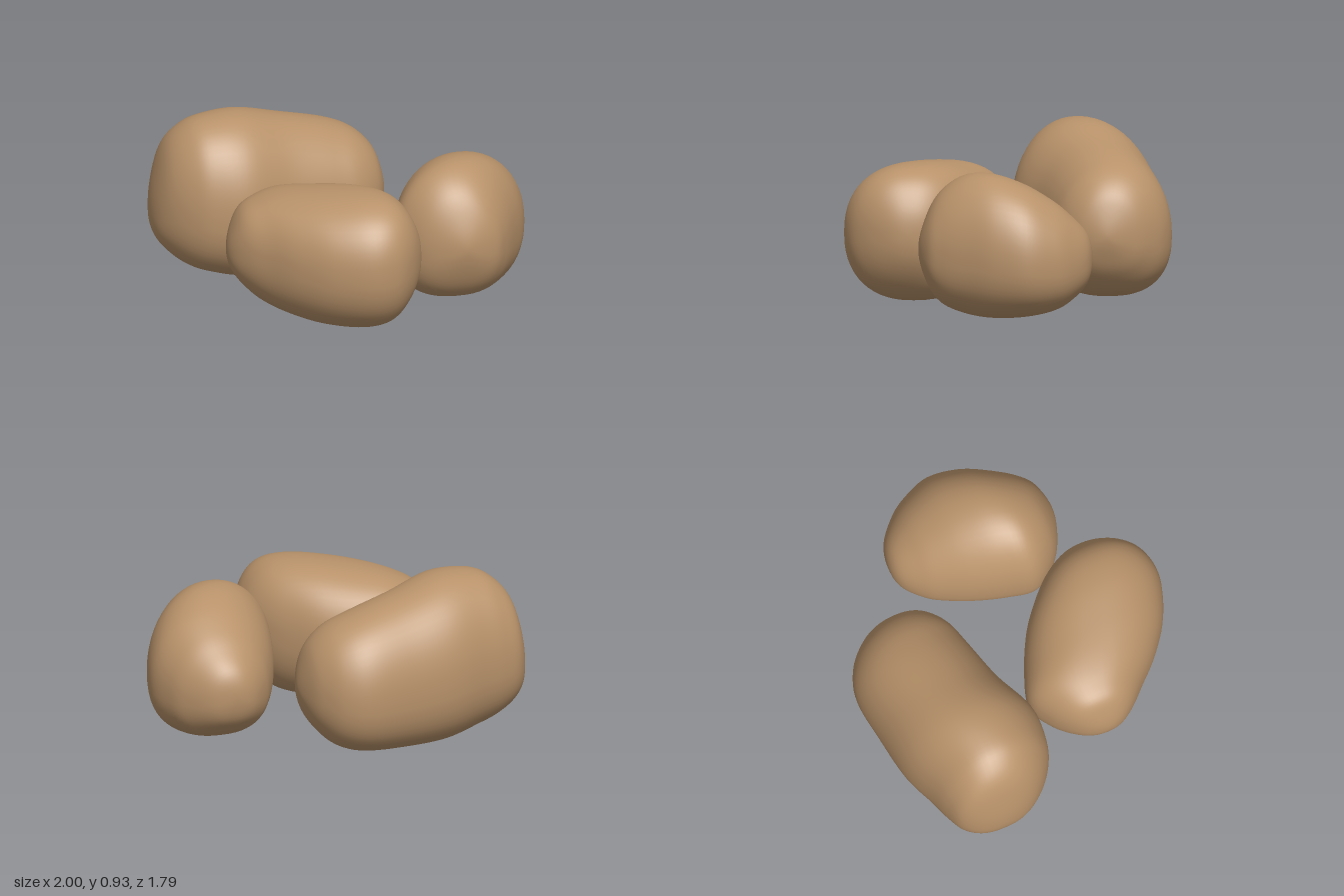
import * as THREE from 'three';
import { mergeVertices } from 'three/addons/utils/BufferGeometryUtils.js';

const STEPS = 6, SIDES = 56;

// Smooth interpolation between stations
function catmull(a, b, c, d, t) {
  const m0 = (c - a) / 2, m1 = (d - b) / 2;
  return (2 * b - 2 * c + m0 + m1) * t ** 3 + (3 * c - 3 * b - 2 * m0 - m1) * t * t + m0 * t + b;
}

const power = (v, n) => Math.sign(v) * Math.abs(v) ** (2 / n);

// Lofts a boulder along x. Station: [x, zMin, zMax, yMin, yMax]; the ends are points.
function boulderGeometry(stations, { belly = 0.44, upper = 2.1, lower = 2.45 } = {}) {
  // Mirrored stations beyond each end make the caps round
  const mirror = ([x, z0, z1, y0, y1]) => [x, z1, z0, y1, y0];
  const s = [mirror(stations[1]), ...stations, mirror(stations.at(-2))];
  const rings = [];
  for (let i = 1; i < s.length - 2; i++) {
    for (let k = 0; k < STEPS; k++) {
      rings.push(s[i].map((_, c) => catmull(s[i - 1][c], s[i][c], s[i + 1][c], s[i + 2][c], k / STEPS)));
    }
  }
  rings.push(stations.at(-1));

  const position = [], index = [];
  rings.forEach(([x, z0, z1, y0, y1], i) => {
    const waist = y0 + (y1 - y0) * belly;
    for (let j = 0; j < SIDES; j++) {
      const a = (j / SIDES) * Math.PI * 2, c = Math.cos(a), h = Math.sin(a);
      const n = h > 0 ? upper : lower;
      position.push(
        x,
        Math.max(0, waist + power(h, n) * (h > 0 ? y1 - waist : waist - y0)),
        (z0 + z1) / 2 + power(c, n) * (z1 - z0) / 2
      );
      if (i < rings.length - 1) {
        const p = i * SIDES + j, q = i * SIDES + (j + 1) % SIDES;
        index.push(p, p + SIDES, q + SIDES, p, q + SIDES, q);
      }
    }
  });
  const geometry = new THREE.BufferGeometry();
  geometry.setAttribute('position', new THREE.Float32BufferAttribute(position, 3));
  geometry.setIndex(index);
  const merged = mergeVertices(geometry, 1e-5);
  merged.computeVertexNormals();
  return merged;
}

const backStations = [
  [-1.00, -0.45, -0.45, 0.38, 0.38],
  [-0.98, -0.58, -0.32, 0.25, 0.56],
  [-0.92, -0.68, -0.21, 0.165, 0.76],
  [-0.82, -0.73, -0.12, 0.09, 0.87],
  [-0.70, -0.77, -0.07, 0.045, 0.915],
  [-0.50, -0.84, -0.06, 0.00, 0.92],
  [-0.25, -0.875, -0.155, 0.00, 0.855],
  [0.00, -0.90, -0.22, 0.02, 0.79],
  [0.15, -0.855, -0.265, 0.07, 0.73],
  [0.25, -0.76, -0.34, 0.17, 0.64],
  [0.30, -0.66, -0.42, 0.27, 0.53],
  [0.325, -0.53, -0.53, 0.39, 0.39],
];

const frontStations = [
  [-0.73, 0.29, 0.29, 0.39, 0.39],
  [-0.71, 0.19, 0.38, 0.29, 0.50],
  [-0.65, 0.09, 0.47, 0.20, 0.62],
  [-0.55, 0.00, 0.57, 0.11, 0.68],
  [-0.42, -0.06, 0.70, 0.05, 0.72],
  [-0.25, -0.01, 0.82, 0.01, 0.745],
  [-0.05, 0.09, 0.89, 0.00, 0.76],
  [0.10, 0.21, 0.87, 0.035, 0.74],
  [0.20, 0.32, 0.79, 0.13, 0.67],
  [0.27, 0.44, 0.67, 0.26, 0.54],
  [0.29, 0.56, 0.56, 0.40, 0.40],
];

// Lofted lengthwise from back to front, then turned a quarter
const sideStations = [
  [-0.43, -0.63, -0.63, 0.33, 0.33],
  [-0.40, -0.77, -0.52, 0.19, 0.46],
  [-0.30, -0.89, -0.42, 0.09, 0.57],
  [-0.20, -0.955, -0.36, 0.04, 0.65],
  [-0.05, -1.00, -0.29, 0.01, 0.735],
  [0.12, -0.965, -0.235, 0.00, 0.785],
  [0.27, -0.89, -0.21, 0.02, 0.77],
  [0.40, -0.81, -0.29, 0.08, 0.68],
  [0.48, -0.73, -0.41, 0.20, 0.54],
  [0.52, -0.57, -0.57, 0.37, 0.37],
];

export function createModel() {
  const stone = new THREE.MeshStandardMaterial({ color: 0xb8926a });
  stone.name = 'tan stone';

  const model = new THREE.Group();
  model.name = 'boulders';
  const add = (name, geometry) => {
    const mesh = new THREE.Mesh(geometry, stone);
    mesh.name = name;
    model.add(mesh);
    return mesh;
  };

  add('backBoulder', boulderGeometry(backStations));
  add('frontBoulder', boulderGeometry(frontStations, { belly: 0.5, upper: 2.3, lower: 2.3 }));
  add('leftBoulder', boulderGeometry(sideStations)).rotation.y = -Math.PI / 2;
  return model;
}
